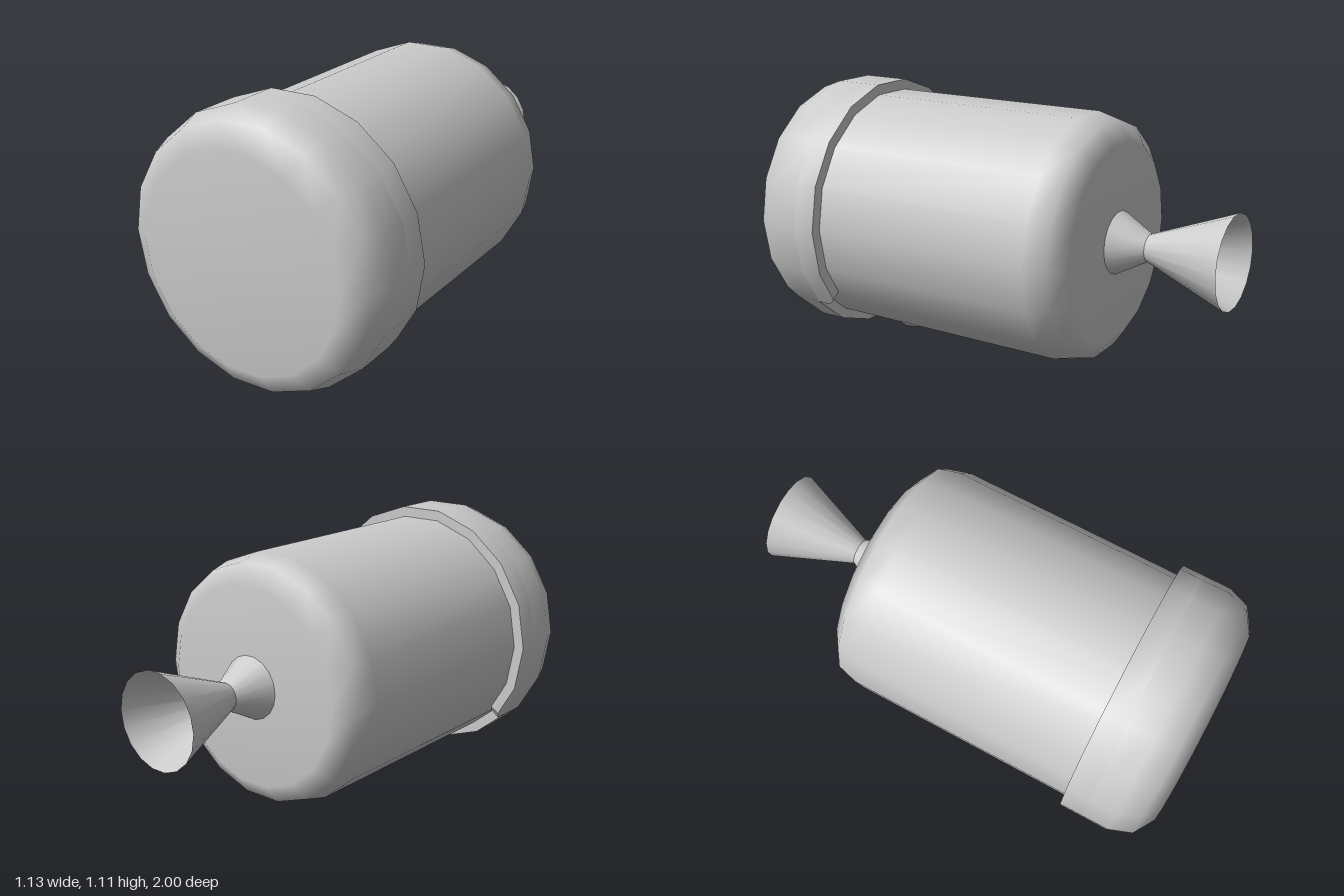
import * as THREE from 'three';
import { toCreasedNormals } from 'three/addons/utils/BufferGeometryUtils.js';

const SIDES = 18;
const AXIS_Y = 0.557;
const RAD = Math.PI / 180;

const grey = new THREE.MeshStandardMaterial({ color: 0xcccccc });
const greyDouble = new THREE.MeshStandardMaterial({ color: 0xcccccc, side: THREE.DoubleSide });

// Turns a [radius, z] profile, listed back to front, around the z axis
function turned(name, profile, material = grey) {
  const points = profile.map(([r, z]) => new THREE.Vector2(r, z));
  const geometry = new THREE.LatheGeometry(points, SIDES, 10 * RAD);
  geometry.rotateX(Math.PI / 2);
  const mesh = new THREE.Mesh(geometry, material);
  mesh.name = name;
  return mesh;
}

// Raised skirt that covers all but the lower arc, with chamfered ends
function skirtGeometry() {
  const outer = 0.565, inner = 0.515, front = 0.735;
  const corner = (deg) => new THREE.Vector2(Math.cos(deg * RAD), Math.sin(deg * RAD));
  const sections = [];
  for (let deg = -40; deg <= 220; deg += 20) {
    const end = deg === -40 || deg === 220;
    sections.push({ dir: corner(deg), back: end ? 0.67 : 0.635 });
  }
  // Extra section near each end where the chamfer meets the straight edge
  const chamfer = (a, b) => ({ dir: corner(a).lerp(corner(b), 0.2), back: 0.635 });
  sections.splice(1, 0, chamfer(-40, -20));
  sections.splice(sections.length - 1, 0, chamfer(220, 200));

  const positions = [], index = [];
  for (const { dir, back } of sections) {
    for (const [r, z] of [[outer, front], [outer, back], [inner, back], [inner, front]]) {
      positions.push(dir.x * r, dir.y * r, z);
    }
  }
  const quad = (a, b, c, d) => index.push(a, b, c, a, c, d);
  const last = (sections.length - 1) * 4;
  for (let i = 0; i < last; i += 4) {
    for (let j = 0; j < 2; j++) quad(i + j, i + j + 1, i + j + 5, i + j + 4);
  }
  quad(0, 3, 2, 1);
  quad(last, last + 1, last + 2, last + 3);

  const geometry = new THREE.BufferGeometry();
  geometry.setAttribute('position', new THREE.Float32BufferAttribute(positions, 3));
  geometry.setIndex(index);
  return toCreasedNormals(geometry, 0.6);
}

export function createModel() {
  const model = new THREE.Group();
  model.name = 'thrusterCanister';
  const parts = new THREE.Group();
  parts.name = 'canister';
  parts.position.y = AXIS_Y;
  model.add(parts);

  // Main tank with a rounded rear edge
  parts.add(turned('tank', [[0, -0.505], [0.416, -0.505], [0.495, -0.45], [0.52, -0.355], [0.52, 0.86]]));

  // Front cap, its rear lip and the longer upper skirt
  parts.add(turned('frontCap', [[0.565, 0.735], [0.565, 0.85], [0.53, 0.945], [0.44, 1], [0, 1]]));
  parts.add(turned('capLip', [[0.515, 0.735], [0.565, 0.735]]));
  const skirt = new THREE.Mesh(skirtGeometry(), grey);
  skirt.name = 'capSkirt';
  parts.add(skirt);

  // Nozzle: tapered neck and open flared bell
  parts.add(turned('nozzleBell', [[0.195, -1], [0.057, -0.643]], greyDouble));
  parts.add(turned('nozzleNeck', [[0.057, -0.643], [0.132, -0.505]], greyDouble));

  // Flattened studs on the two lower facets
  for (const side of [-1, 1]) {
    const stud = new THREE.Mesh(new THREE.SphereGeometry(0.056, 16, 12), grey);
    stud.name = side > 0 ? 'leftStud' : 'rightStud';
    stud.scale.y = 0.45;
    stud.position.set(side * 0.15, 0.07 - AXIS_Y, 0.445);
    stud.rotation.z = side * 20 * RAD;
    parts.add(stud);
  }
  return model;
}
